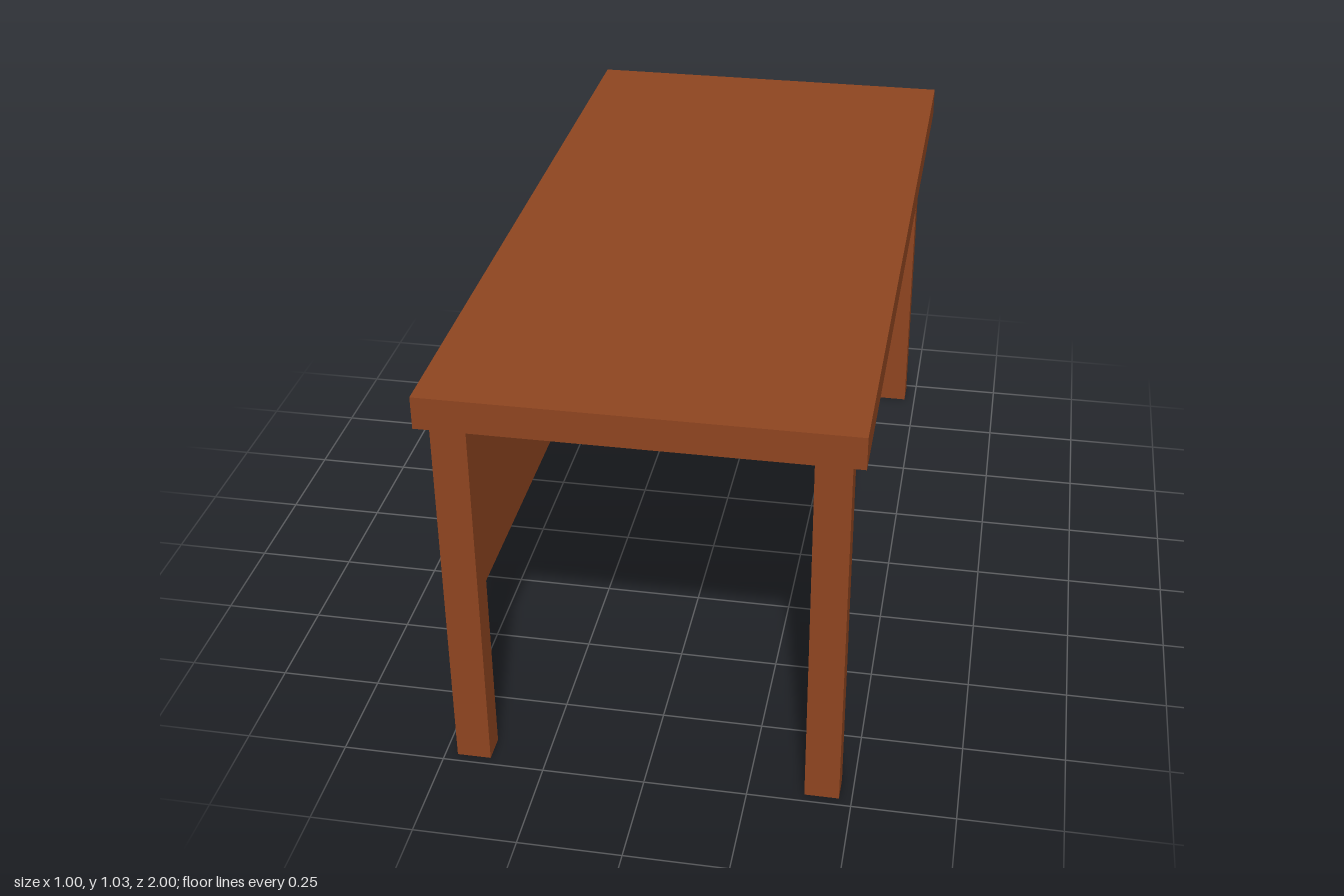
import * as THREE from 'three';

export function createModel() {
  const table = new THREE.Group();
  table.name = 'table';
  const wood = new THREE.MeshStandardMaterial({ color: 0x8f4520 });
  wood.name = 'brown wood';

  const addBox = (name, w, h, d, x, y, z) => {
    const mesh = new THREE.Mesh(new THREE.BoxGeometry(w, h, d), wood);
    mesh.name = name;
    mesh.position.set(x, y, z);
    table.add(mesh);
  };

  const legTop = 0.947, legWidth = 0.083, legDepth = 0.068;
  const legX = 0.428, legZ = 0.944;

  // Table top
  addBox('tableTop', 1, 0.08, 2, 0, legTop + 0.04, 0);

  // Four legs
  for (const [side, sx] of [['Left', 1], ['Right', -1]]) {
    for (const [end, sz] of [['front', 1], ['back', -1]]) {
      addBox(`${end}${side}Leg`, legWidth, legTop, legDepth, sx * legX, legTop / 2, sz * legZ);
    }
  }

  // Modesty panel between the right-hand legs, flush with their outer faces
  const panelBottom = 0.39, panelThickness = 0.042;
  addBox('modestyPanel', panelThickness, legTop - panelBottom, 2 * legZ - legDepth,
    -legX - legWidth / 2 + panelThickness / 2, (legTop + panelBottom) / 2, 0);

  return table;
}
